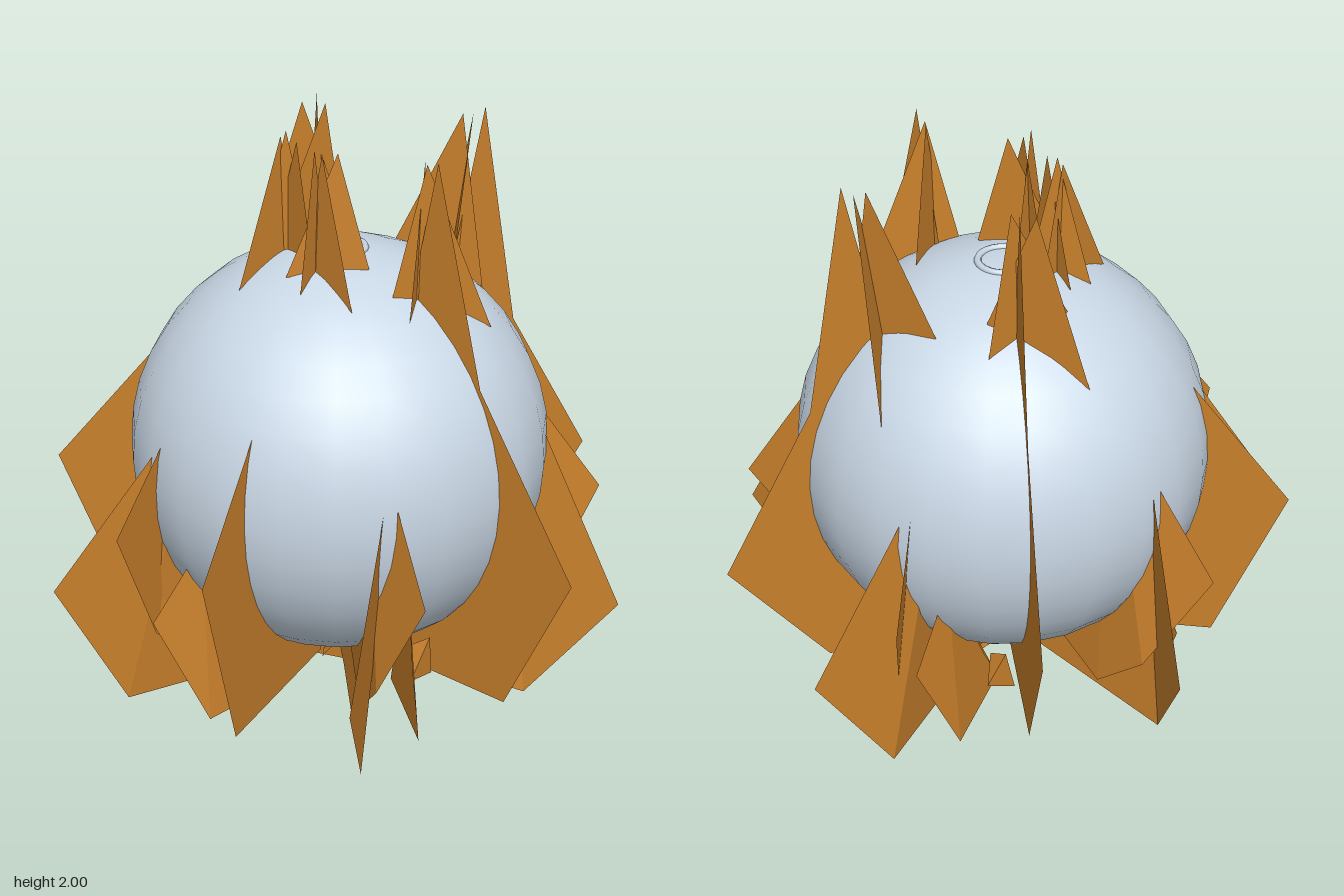
import * as THREE from 'three';

const CY = 0.925, CZ = 0.023, R = 0.697;

// point from azimuth (degrees), radius and height around the orb axis
function polar(az, r, y) {
  const a = THREE.MathUtils.degToRad(az);
  return [r * Math.cos(a), y, CZ + r * Math.sin(a)];
}

// height of the orb surface above a ground position
function orbHeight(x, z) {
  return CY + Math.sqrt(Math.max(0, R * R - x * x - (z - CZ) ** 2));
}

// thin faceted blade built as a fan of triangles
function blade(points, material, name) {
  const pos = [];
  for (let i = 1; i < points.length - 1; i++) pos.push(...points[0], ...points[i], ...points[i + 1]);
  const geo = new THREE.BufferGeometry();
  geo.setAttribute('position', new THREE.Float32BufferAttribute(pos, 3));
  geo.computeVertexNormals();
  const mesh = new THREE.Mesh(geo, material);
  mesh.name = name;
  return mesh;
}

export function createModel() {
  const group = new THREE.Group();
  group.name = 'spikedOrb';
  const orbMat = new THREE.MeshStandardMaterial({ color: 0xc9d7e5 });
  orbMat.name = 'pale blue grey';
  const bladeMat = new THREE.MeshStandardMaterial({ color: 0xca812c, side: THREE.DoubleSide });
  bladeMat.name = 'amber brown';

  // orb with a small raised ring on its crown
  const orb = new THREE.Mesh(new THREE.SphereGeometry(R, 24, 20), orbMat);
  orb.name = 'orb';
  orb.position.set(0, CY, CZ);
  const ring = new THREE.Mesh(new THREE.TorusGeometry(0.083, 0.012, 8, 24), orbMat);
  ring.name = 'crownRing';
  ring.rotation.x = Math.PI / 2;
  ring.position.set(0, CY + R - 0.006, CZ);
  group.add(orb, ring);

  // tall upright radial fins: azimuth, tip radius, shoulder radius/height, widest radius/height, foot radius
  const fins = [
    [0, 0.54, 0.68, 1.22, 1.0, 0.67, 0.66],
    [72, 0.41, 0.6, 1.3, 0.99, 0.75, 0.74],
    [144, 0.18, 0.62, 1.22, 0.97, 0.86, 0.78],
    [216, 0.17, 0.62, 1.22, 0.97, 0.8, 0.74],
    [288, 0.4, 0.62, 1.3, 0.99, 0.74, 0.7],
  ];
  for (const [az, tip, sr, sy, wr, wy, foot] of fins) {
    const outline = [[tip, 2], [sr, sy], [wr, wy], [foot, 0.21], [0.15, 0.18], [0.2, 0.6], [tip - 0.14, 1.35]];
    if (tip < 0.3) outline.splice(1, 0, [0.32, 1.42]);
    const shape = new THREE.Shape(outline.map(([x, y]) => new THREE.Vector2(x, y)));
    const fin = new THREE.Mesh(new THREE.ShapeGeometry(shape), bladeMat);
    fin.name = 'tallFin';
    fin.rotation.y = -THREE.MathUtils.degToRad(az);
    fin.position.z = CZ;
    group.add(fin);
  }

  // crossed spikes on the crown: tip x, z and the two base corners on the orb
  const spikes = [
    [0.47, 0.0, 0.32, -0.17, 0.5, 0.1],
    [0.51, 0.0, 0.54, -0.24, 0.37, 0.12],
    [0.07, -0.36, -0.06, -0.48, 0.17, -0.22],
    [0.13, -0.31, -0.09, -0.26, 0.21, -0.32],
    [0.13, 0.33, 0.23, 0.2, 0.03, 0.42],
    [0.12, 0.36, 0.02, 0.33, 0.35, 0.39],
    [-0.15, -0.09, -0.35, 0.0, -0.08, -0.11],
    [-0.13, -0.02, -0.14, -0.18, -0.13, 0.08],
    [-0.07, 0.14, -0.23, 0.09, 0.01, 0.2],
    [-0.12, 0.13, -0.13, 0.34, -0.15, 0.05],
  ];
  for (const [x, z, ax, az, bx, bz] of spikes) {
    group.add(blade([[x, 1.98, z], [ax, orbHeight(ax, az), az], [bx, orbHeight(bx, bz), bz]], bladeMat, 'crownSpike'));
  }

  // side blades between the fins: azimuth, low tip radius/height,
  // low foot radius/height/azimuth offset, high tip radius/height
  const sides = [
    [36, 0.97, 0.44, 0.66, 0.03, 8, 0.88, 0.75],
    [108, 0.98, 0.47, 0.69, 0.05, 5, 0.86, 0.75],
    [180, 1.0, 0.53, 0.78, 0.1, 5, 0.87, 0.82],
    [252, 1.0, 0.53, 0.74, 0.1, -2, 0.88, 0.75],
    [324, 0.98, 0.48, 0.735, 0.05, 1, 0.89, 0.73],
  ];
  for (const [az, lr, ly, fr, fy, turn, hr, hy] of sides) {
    group.add(blade([
      polar(az - 10, 0.54, 1.29), polar(az + 9, lr, ly), polar(az + turn, fr, fy),
      polar(az + turn, 0.15, 0.13), polar(az + 4, -0.12, az === 180 ? 0 : 0.13), polar(az, 0.1, 0.4),
    ], bladeMat, 'lowSideBlade'));
    group.add(blade([
      polar(az + 1, 0.5, 1.31), polar(az - 7, hr, hy), polar(az + 1, 0.69, 0.36),
      polar(az + 3, 0.5, 0.18), polar(az + 3, 0.25, 0.3),
    ], bladeMat, 'highSideBlade'));
    // small leaf beside each pair
    group.add(blade([
      polar(az - 11, 0.58, 0.73), polar(az - 7, 0.75, 0.47), polar(az - 15, 0.6, 0.08),
      polar(az - 25, 0.3, 0.13), polar(az - 20, 0.42, 0.32),
    ], bladeMat, 'smallLeaf'));
    // short shard under the orb, across the neighbouring fin
    group.add(blade([
      polar(az - 30, 0.46, 0.36), polar(az - 23, 0.42, 0.33),
      polar(az - 22, 0.44, 0.2), polar(az - 34, 0.44, 0.2),
    ], bladeMat, 'underShard'));
  }
  return group;
}
